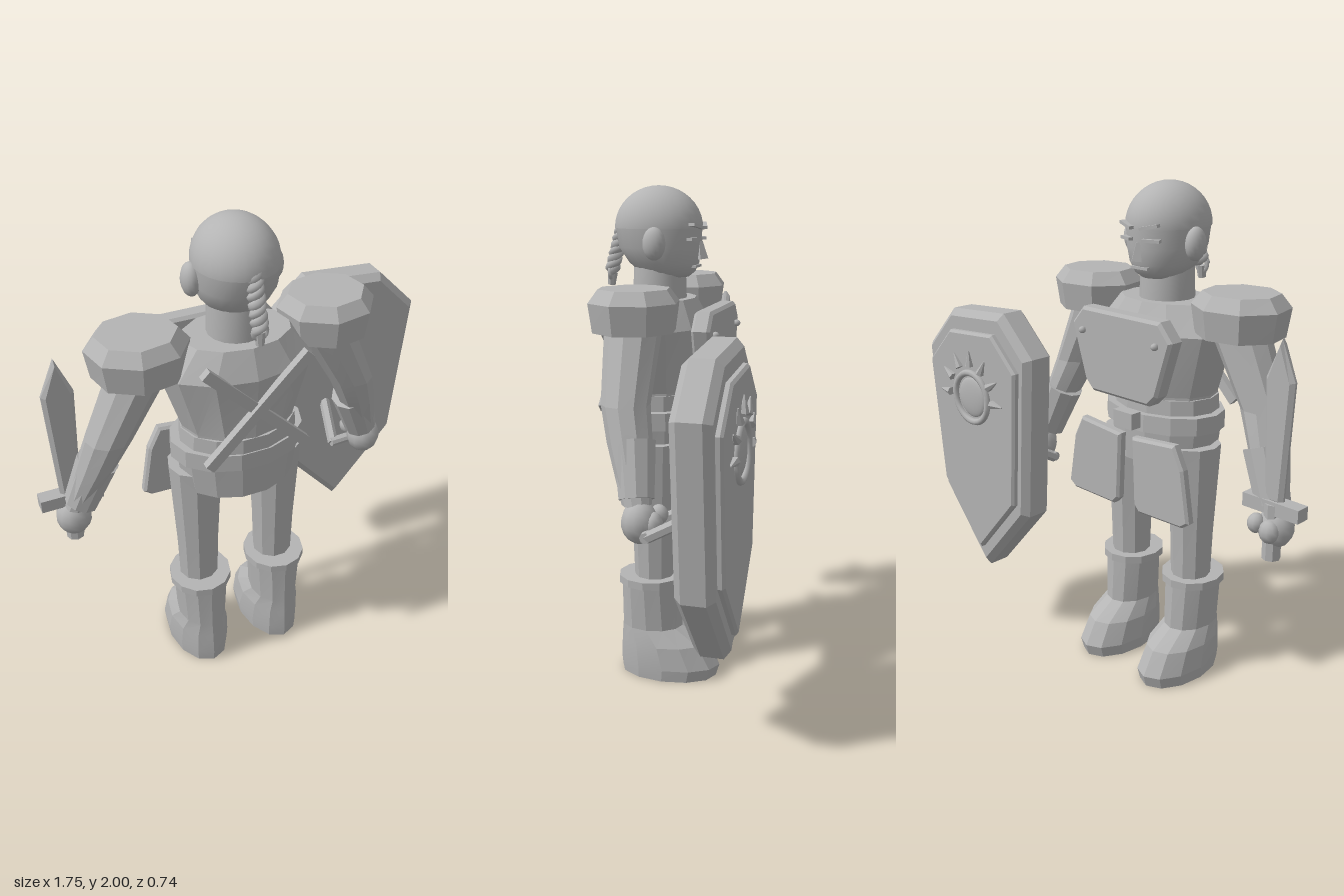
import * as THREE from 'three';
import { toCreasedNormals } from 'three/addons/utils/BufferGeometryUtils.js';

const CX = -0.11; // the figure's own middle line
const V = (x, y, z) => new THREE.Vector3(x, y, z);

export function createModel() {
  const root = new THREE.Group();
  root.name = 'shieldBearer';
  const grey = new THREE.MeshStandardMaterial({ color: 0xb4b4b4 });
  grey.name = 'plain grey';

  const add = (name, geo, x = 0, y = 0, z = 0, crease = 0.15) => {
    const m = new THREE.Mesh(crease ? toCreasedNormals(geo, crease) : geo, grey);
    m.name = name;
    m.position.set(x, y, z);
    root.add(m);
    return m;
  };

  // closed skin over level elliptical rings [x, y, z, rx, rz], listed bottom to top
  const loft = (rings, n, turn = 0) => {
    const pos = [], idx = [];
    for (const [x, y, z, rx, rz] of rings)
      for (let j = 0; j < n; j++) {
        const a = ((j + turn) / n) * Math.PI * 2;
        pos.push(x + Math.cos(a) * rx, y, z + Math.sin(a) * rz);
      }
    const last = rings.length - 1;
    for (let i = 0; i < last; i++)
      for (let j = 0; j < n; j++) {
        const a = i * n + j, b = i * n + ((j + 1) % n);
        idx.push(a, a + n, b, b, a + n, b + n);
      }
    const c = pos.length / 3;
    for (const r of [rings[0], rings[last]]) pos.push(r[0], r[1], r[2]);
    for (let j = 0; j < n; j++) {
      const k = (j + 1) % n;
      idx.push(c, j, k, c + 1, last * n + k, last * n + j);
    }
    const g = new THREE.BufferGeometry();
    g.setAttribute('position', new THREE.Float32BufferAttribute(pos, 3));
    g.setIndex(idx);
    g.computeVertexNormals();
    return g;
  };

  // tapered rod from a to b
  const rod = (name, a, b, ra, rb, n = 8) => {
    const d = b.clone().sub(a), mid = a.clone().add(b).multiplyScalar(0.5);
    const m = add(name, new THREE.CylinderGeometry(rb, ra, d.length(), n), mid.x, mid.y, mid.z);
    m.quaternion.setFromUnitVectors(V(0, 1, 0), d.normalize());
    return m;
  };

  // flat outline in x, y thickened from z0 to z1 with bevelled rims
  const plate = (name, pts, z0, z1, bevel) => {
    const shape = new THREE.Shape(pts.map(([x, y]) => new THREE.Vector2(x, y)));
    return add(name, new THREE.ExtrudeGeometry(shape, {
      depth: z1 - z0 - 2 * bevel, bevelEnabled: true, bevelSegments: 1,
      bevelThickness: bevel, bevelSize: bevel, bevelOffset: -bevel,
    }), 0, 0, z0 + bevel);
  };

  const ball = (name, x, y, z, rx, ry, rz, n = 16) => {
    const m = add(name, new THREE.SphereGeometry(1, n, n * 0.75), x, y, z, 0);
    m.scale.set(rx, ry, rz);
    return m;
  };

  // head, cap and neck
  add('face', loft([[CX, 1.645, 0.11, 0.07, 0.085], [CX, 1.665, 0.115, 0.1, 0.115],
    [CX, 1.70, 0.127, 0.127, 0.142], [CX, 1.76, 0.143, 0.147, 0.167],
    [CX, 1.845, 0.148, 0.153, 0.175]], 24), 0, 0, 0, 0.9);
  const cap = add('cap', new THREE.SphereGeometry(1, 24, 10, 0, Math.PI * 2, 0, Math.PI / 2), CX, 1.835, 0.148, 0);
  cap.scale.set(0.157, 0.165, 0.178);
  add('neck', new THREE.CylinderGeometry(0.105, 0.11, 0.16, 16), CX, 1.61, 0.145, 0.6);

  // braid of two wound strands with a ring and a tail
  for (const phase of [0, Math.PI]) {
    const pts = [];
    for (let i = 0; i <= 32; i++) {
      const t = i / 32, a = t * Math.PI * 7 + phase;
      pts.push(V(CX + Math.cos(a) * 0.016, 1.86 - 0.2 * t, 0.295 + 0.055 * t + Math.sin(a) * 0.014));
    }
    add('braidStrand', new THREE.TubeGeometry(new THREE.CatmullRomCurve3(pts), 48, 0.018, 6), 0, 0, 0, 0);
  }
  add('braidRing', new THREE.TorusGeometry(0.026, 0.009, 6, 14), CX, 1.655, 0.35, 0);
  rod('braidTail', V(CX, 1.655, 0.347), V(CX, 1.605, 0.352), 0.022, 0.016);

  // nose and mouth
  rod('nose', V(CX, 1.715, -0.03), V(CX, 1.785, -0.022), 0.026, 0.01, 4);
  add('mouth', new THREE.BoxGeometry(0.085, 0.01, 0.02), CX, 1.688, -0.007);

  // torso, belts and hips
  add('torso', loft([[CX, 1.14, 0.15, 0.225, 0.17], [CX, 1.2, 0.15, 0.225, 0.172],
    [CX, 1.45, 0.145, 0.305, 0.2], [CX, 1.56, 0.15, 0.21, 0.15]], 12));
  add('upperBelt', loft([[CX, 1.12, 0.15, 0.235, 0.18], [CX, 1.19, 0.15, 0.23, 0.178]], 14));
  add('belt', loft([[CX, 1.06, 0.14, 0.27, 0.197], [CX, 1.13, 0.14, 0.268, 0.195]], 14));
  add('hips', loft([[CX, 0.92, 0.145, 0.228, 0.178], [CX, 1.08, 0.145, 0.25, 0.188]], 14));
  add('buckle', new THREE.BoxGeometry(0.1, 0.065, 0.05), CX, 1.11, -0.08);

  // breastplate
  plate('breastplate', [[-0.2, 1.53], [0.2, 1.53], [0.26, 1.46], [0.19, 1.24], [0.15, 1.2],
    [-0.15, 1.2], [-0.19, 1.24], [-0.26, 1.46]].map(([x, y]) => [x + CX, y]), -0.125, -0.05, 0.012);

  for (const s of [-1, 1]) {
    const X = (off) => CX + s * off;

    ball('ear', X(0.157), 1.78, 0.122, 0.036, 0.064, 0.046);
    const brow = add('brow', new THREE.BoxGeometry(0.075, 0.012, 0.03), X(0.055), 1.845, -0.02);
    brow.rotation.set(0, -s * 0.3, s * 0.2);
    const eye = add('eye', new THREE.BoxGeometry(0.07, 0.012, 0.03), X(0.06), 1.795, -0.013);
    eye.rotation.y = -s * 0.35;
    ball('rivet', X(0.19), 1.44, -0.133, 0.014, 0.014, 0.016, 8);

    // crossed strap on the back
    const strap = add('backStrap', new THREE.BoxGeometry(0.56, 0.042, 0.03), CX, 1.325, 0.337 + s * 0.008);
    strap.rotation.z = s * Math.PI / 4;

    // hip plates
    const tasset = [[0.03, 1.04], [0.25, 1.06], [0.295, 0.97], [0.33, 0.76], [0.295, 0.735],
      [0.07, 0.73], [0.042, 0.76]];
    plate('hipPlate', tasset.map(([x, y]) => [X(x), y]), -0.09, -0.045, 0.01);

    // shoulder guard
    add('shoulderGuard', loft([[X(0.37), 1.47, 0.135, 0.172, 0.16], [X(0.37), 1.58, 0.135, 0.19, 0.175],
      [X(0.37), 1.63, 0.135, 0.148, 0.137]], 8, 0.25));

    // arm, cuff and hand
    add('arm', loft([[X(0.63), 0.88, 0.05, 0.05, 0.055], [X(0.55), 1.09, 0.1, 0.075, 0.085],
      [X(0.5), 1.22, 0.13, 0.09, 0.092], [X(0.36), 1.5, 0.14, 0.115, 0.11]], 10));
    rod('cuff', V(X(0.615), 0.895, 0.055), V(X(0.54), 1.09, 0.085), 0.068, 0.082, 10);
    ball('hand', X(0.645), 0.82, 0.035, 0.07, 0.08, 0.068, 12);
    ball('thumb', X(0.6), 0.84, -0.025, 0.033, 0.038, 0.035, 10);
    ball('fingers', X(0.655), 0.82, -0.02, 0.04, 0.045, 0.035, 10);

    // leg and boot
    add('leg', loft([[X(0.17), 0.38, 0.125, 0.08, 0.08], [X(0.17), 0.62, 0.125, 0.087, 0.088],
      [X(0.17), 1.0, 0.125, 0.108, 0.11]], 10));
    add('bootCuff', loft([[X(0.17), 0.4, 0.14, 0.127, 0.135], [X(0.17), 0.432, 0.14, 0.127, 0.135]], 12));
    add('boot', loft([[X(0.17), 0, 0.065, 0.12, 0.205], [X(0.17), 0.05, 0.06, 0.125, 0.215],
      [X(0.17), 0.145, 0.085, 0.118, 0.185], [X(0.17), 0.21, 0.135, 0.098, 0.13],
      [X(0.17), 0.4, 0.14, 0.11, 0.125]], 12));
  }

  // sword
  const sx = -0.755;
  plate('blade', [[-0.04, 0.92], [0.04, 0.92], [0.06, 1.38], [0, 1.525], [-0.062, 1.38]]
    .map(([x, y]) => [x + sx, y]), 0, 0.04, 0.015);
  add('crossguard', new THREE.BoxGeometry(0.245, 0.052, 0.06), sx, 0.907, 0.02);
  add('swordGrip', new THREE.CylinderGeometry(0.035, 0.035, 0.22, 8), sx, 0.81, 0.015);

  // shield with a raised inner panel
  const rim = [[0.21, 1.32], [0.375, 1.48], [0.7, 1.455], [0.872, 1.28], [0.81, 0.64], [0.535, 0.32], [0.255, 0.635]];
  const shrink = (k) => rim.map(([x, y]) => [0.54 + (x - 0.54) * k, 0.95 + (y - 0.95) * k]);
  plate('shield', rim, -0.31, -0.165, 0.028);
  plate('shieldPanel', shrink(0.84), -0.336, -0.3, 0.01);

  // round boss with a half crown of rays
  const bx = 0.535, by = 1.11;
  add('bossRing', new THREE.TorusGeometry(0.105, 0.014, 8, 28), bx, by, -0.34, 0);
  const boss = ball('boss', bx, by, -0.335, 0.085, 0.085, 0.016, 20);
  boss.rotation.z = 0.1;
  for (let i = 0; i < 7; i++) {
    const a = (i / 6) * Math.PI, c = Math.cos(a), d = Math.sin(a);
    rod('ray', V(bx + c * 0.135, by + d * 0.135, -0.345), V(bx + c * 0.2, by + d * 0.2, -0.345), 0.018, 0.003, 6);
  }

  // shield handle
  rod('shieldGrip', V(0.4, 0.79, 0), V(0.62, 0.79, -0.01), 0.02, 0.02);
  rod('gripArm', V(0.41, 0.785, 0.0), V(0.455, 0.885, -0.175), 0.022, 0.022, 6);
  rod('gripArm', V(0.6, 0.785, -0.01), V(0.645, 0.885, -0.175), 0.022, 0.022, 6);

  return root;
}
